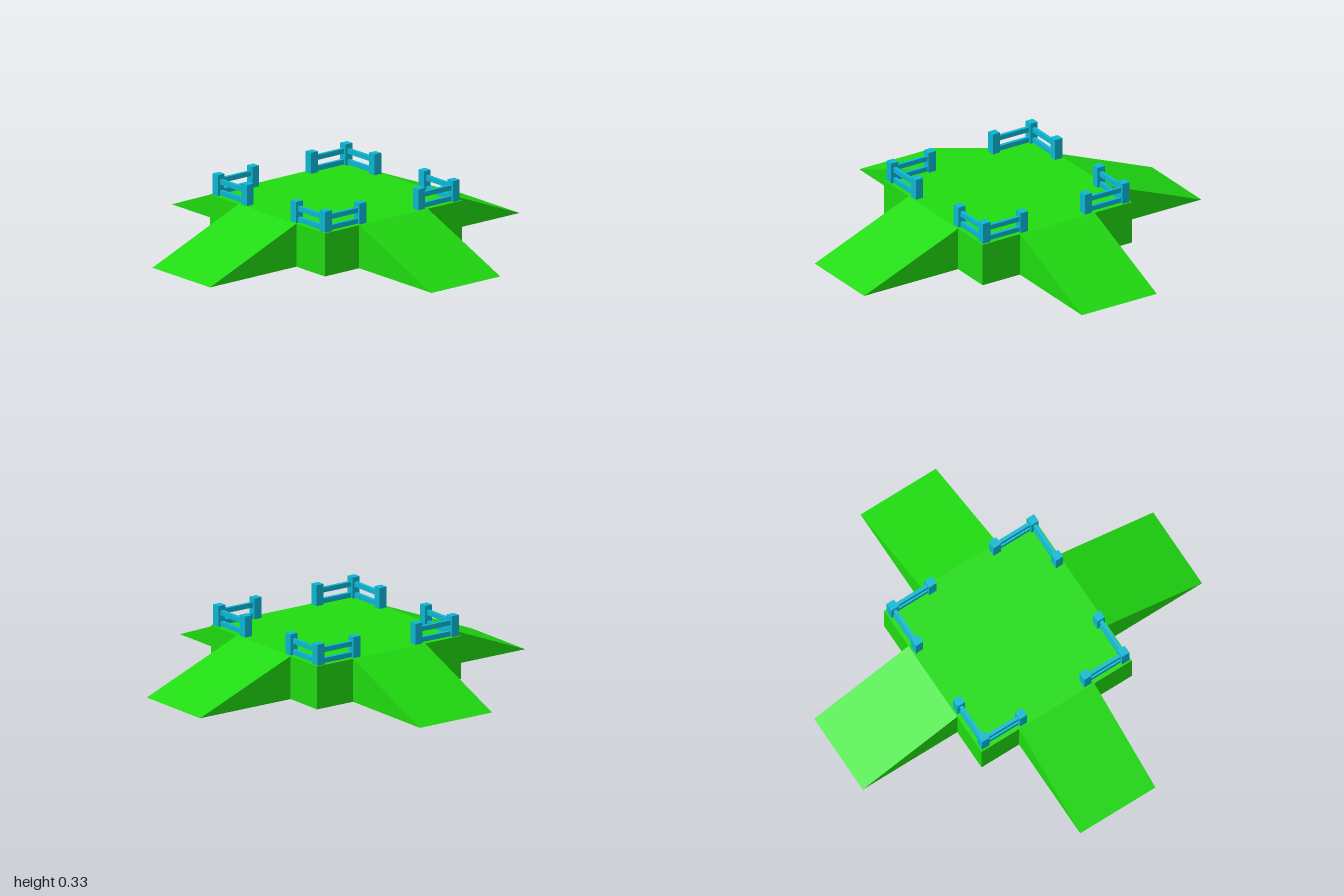
import * as THREE from 'three';

const HALF = 0.443;      // platform half width
const TOP = 0.222;       // platform height
const RAMP_HALF = 0.222; // ramp half width
const OUTER = 0.413;     // fence line
const INNER = 0.19;      // free end of each fence

const green = new THREE.MeshStandardMaterial({ color: 0x20dc10, flatShading: true });
const blue = new THREE.MeshStandardMaterial({ color: 0x0cb8d4, flatShading: true });

function box(name, size, position, material) {
  const mesh = new THREE.Mesh(new THREE.BoxGeometry(...size), material);
  mesh.name = name;
  mesh.position.set(...position);
  return mesh;
}

// Wedge sloping from the platform edge down to the ground along +x
function createRamp() {
  const profile = new THREE.Shape();
  profile.moveTo(HALF, 0);
  profile.lineTo(1, 0);
  profile.lineTo(HALF, TOP);
  profile.closePath();
  const geometry = new THREE.ExtrudeGeometry(profile, { depth: 2 * RAMP_HALF, bevelEnabled: false });
  geometry.translate(0, 0, -RAMP_HALF);
  const ramp = new THREE.Mesh(geometry, green);
  ramp.name = 'ramp';
  return ramp;
}

// L-shaped corner fence: three posts joined by two pairs of rails
function createCornerFence() {
  const fence = new THREE.Group();
  fence.name = 'cornerFence';
  const postHeight = 0.108;
  for (const [x, z] of [[OUTER, OUTER], [INNER, OUTER], [OUTER, INNER]]) {
    fence.add(box('fencePost', [0.043, postHeight, 0.043], [x, TOP + postHeight / 2, z], blue));
  }
  const length = OUTER - INNER;
  const middle = (OUTER + INNER) / 2;
  for (const y of [0.237, 0.293]) {
    fence.add(box('fenceRail', [length, 0.025, 0.018], [middle, y, OUTER], blue));
    fence.add(box('fenceRail', [0.018, 0.025, length], [OUTER, y, middle], blue));
  }
  return fence;
}

export function createModel() {
  const model = new THREE.Group();
  model.name = 'rampPlatform';
  model.add(box('platform', [2 * HALF, TOP, 2 * HALF], [0, TOP / 2, 0], green));

  // One ramp per side and one fence per corner
  for (let i = 0; i < 4; i++) {
    for (const part of [createRamp(), createCornerFence()]) {
      part.rotation.y = i * Math.PI / 2;
      model.add(part);
    }
  }
  return model;
}
